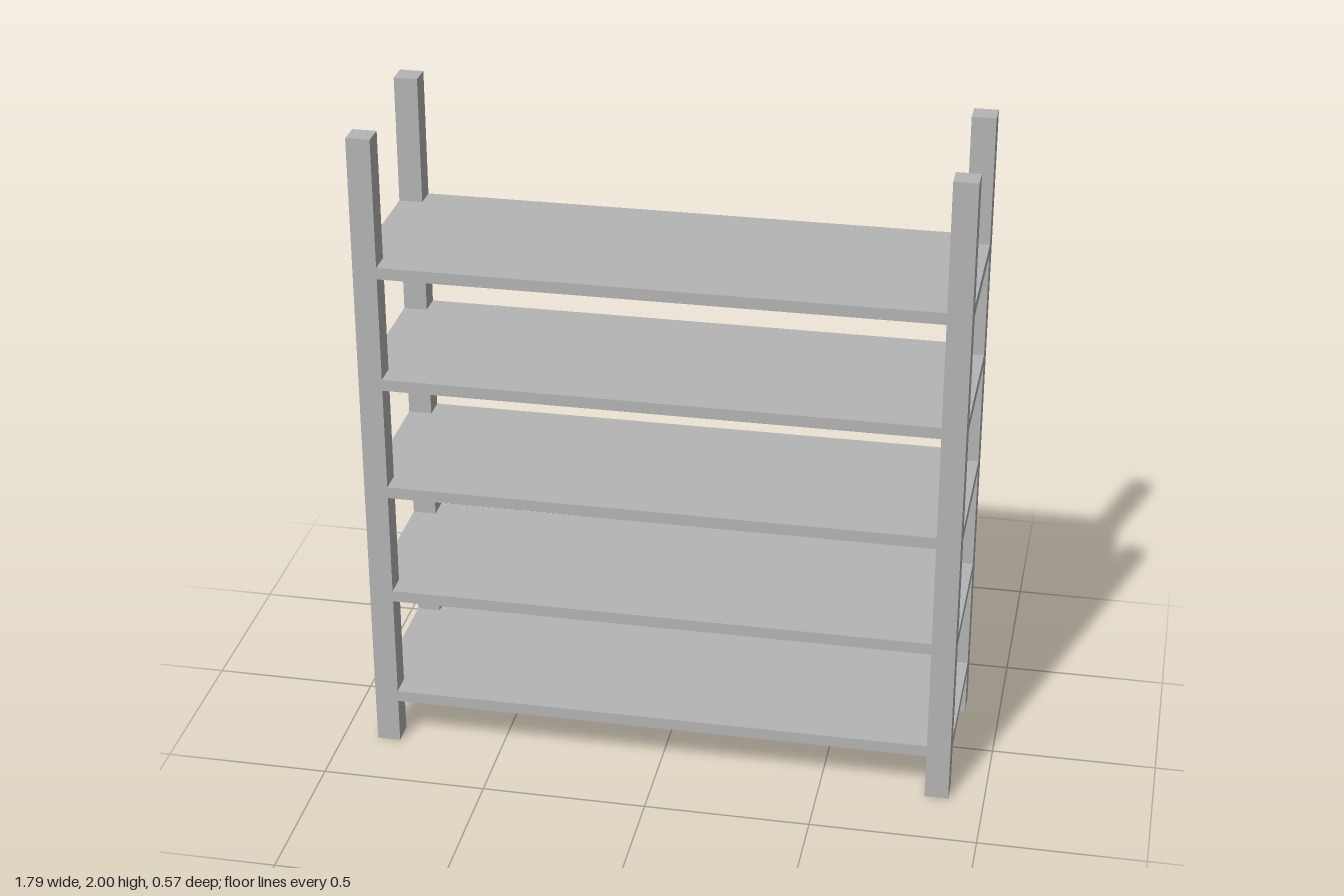
import * as THREE from 'three';

// Layout module: the rack is 56 modules tall
const U = 2 / 56;
const HALF_W = 25 * U, HALF_D = 8 * U, POST = 2 * U, SHELF = U;

export function createModel() {
  const rack = new THREE.Group();
  rack.name = 'shelvingRack';
  const grey = new THREE.MeshStandardMaterial({ color: 0xb4b4b4, side: THREE.DoubleSide });
  grey.name = 'grey';

  // Corner posts: square tubes, capped on top and open underneath
  const postGeo = new THREE.BoxGeometry(POST, 2, POST);
  const bottom = postGeo.groups[3];
  postGeo.setIndex(Array.from(postGeo.index.array).filter(
    (_, i) => i < bottom.start || i >= bottom.start + bottom.count));
  postGeo.clearGroups();
  for (const [sx, sz, name] of [
    [1, 1, 'frontLeftPost'], [-1, 1, 'frontRightPost'],
    [1, -1, 'backLeftPost'], [-1, -1, 'backRightPost']]) {
    const post = new THREE.Mesh(postGeo, grey);
    post.name = name;
    post.position.set(sx * (HALF_W - POST / 2), 1, sz * (HALF_D - POST / 2));
    rack.add(post);
  }

  // Shelves: flush with the posts and notched at the four corners
  const w = HALF_W, d = HALF_D, iw = w - POST, id = d - POST;
  const outline = new THREE.Shape([
    [iw, -d], [iw, -id], [w, -id], [w, id], [iw, id], [iw, d],
    [-iw, d], [-iw, id], [-w, id], [-w, -id], [-iw, -id], [-iw, -d],
  ].map(([x, y]) => new THREE.Vector2(x, y)));
  const shelfGeo = new THREE.ExtrudeGeometry(outline, { depth: SHELF, bevelEnabled: false });
  shelfGeo.rotateX(-Math.PI / 2);
  for (let i = 0; i < 5; i++) {
    const shelf = new THREE.Mesh(shelfGeo, grey);
    shelf.name = `shelf${i + 1}`;
    shelf.position.y = (4 + 10 * i) * U;
    rack.add(shelf);
  }
  return rack;
}
